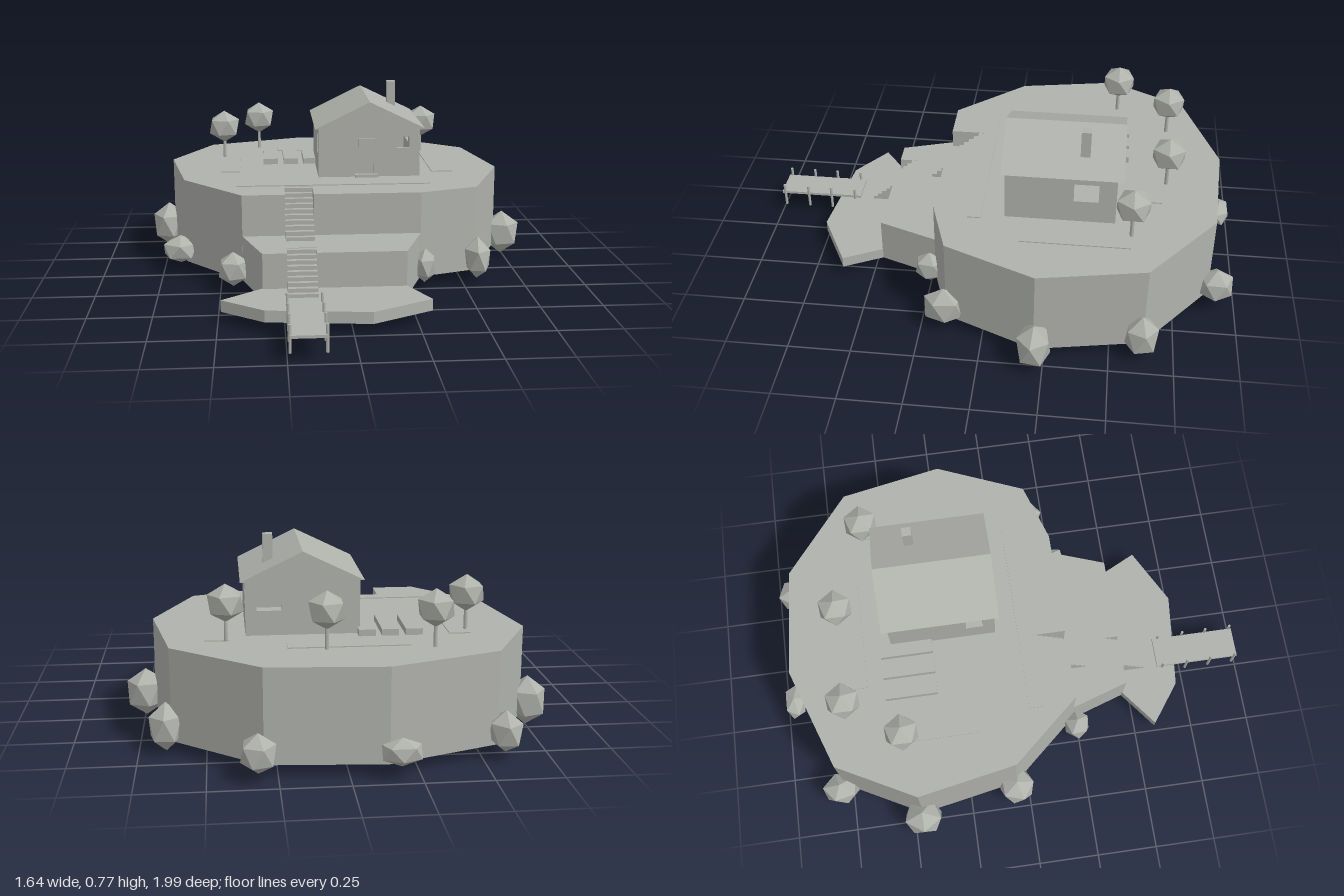
import * as THREE from 'three';

export function createModel() {
  const model = new THREE.Group();
  const stone = new THREE.MeshStandardMaterial({ color: 0xb0b2ac });
  stone.name = 'pale stone grey';

  const add = (name, geometry, x = 0, y = 0, z = 0, parent = model) => {
    const mesh = new THREE.Mesh(geometry, stone);
    mesh.name = name;
    mesh.position.set(x, y, z);
    parent.add(mesh);
    return mesh;
  };
  // Box given by its limits on each axis
  const box = (name, x0, x1, y0, y1, z0, z1, parent = model) =>
    add(name, new THREE.BoxGeometry(x1 - x0, y1 - y0, z1 - z0),
      (x0 + x1) / 2, (y0 + y1) / 2, (z0 + z1) / 2, parent);
  // Upright slab from a ground outline of [x, z] corners
  const slab = (name, outline, y0, y1) => {
    const shape = new THREE.Shape(outline.map(([x, z]) => new THREE.Vector2(x, -z)));
    const g = new THREE.ExtrudeGeometry(shape, { depth: y1 - y0, bevelEnabled: false });
    g.rotateX(-Math.PI / 2);
    return add(name, g, 0, y0, 0);
  };

  const BASE = 0.048, BEACH = 0.094, TERRACE = 0.235, TOP = 0.405;
  const SL = -0.235, SR = -0.12; // stair sides

  // Island levels, notched where the stairs cut in
  slab('islandPlateau', [
    [-0.14, -0.926], [0.3, -0.893], [0.628, -0.63], [0.706, -0.21], [0.555, 0.15], [0.315, 0.228],
    [SR, 0.228], [SR, 0.09], [SL, 0.09], [SL, 0.228],
    [-0.408, 0.228], [-0.652, -0.053], [-0.726, -0.46], [-0.558, -0.778],
  ], BASE, TOP);
  slab('terrace', [
    [-0.408, 0.226], [-0.33, 0.468], [SL, 0.468], [SL, 0.397], [SR, 0.397], [SR, 0.468],
    [0.228, 0.468], [0.315, 0.226], [0.1, 0.05], [-0.3, 0.05],
  ], BASE, TERRACE);
  slab('beach', [
    [-0.33, 0.46], [-0.488, 0.582], [-0.325, 0.704], [0.071, 0.748],
    [0.306, 0.624], [0.225, 0.46], [0.1, 0.3], [-0.25, 0.3],
  ], BASE, BEACH);

  // Two flights of stairs
  const stairs = (name, count, yLow, yHigh, zBack, zFront) => {
    const flight = new THREE.Group();
    flight.name = name;
    model.add(flight);
    const run = (zFront - zBack) / count, rise = (yHigh - yLow) / count;
    for (let i = 0; i < count; i++) {
      box('step', SL, SR, yLow, yHigh - i * rise - 0.002, zBack + i * run, zBack + (i + 1) * run, flight);
    }
  };
  stairs('upperStairs', 10, TERRACE, TOP, 0.09, 0.307);
  stairs('lowerStairs', 9, BEACH, TERRACE, 0.397, 0.577);

  // Dock with four pairs of posts
  const dock = new THREE.Group();
  dock.name = 'dock';
  model.add(dock);
  box('dockDeck', -0.24, -0.113, 0.097, 0.108, 0.635, 0.993, dock);
  for (const z of [0.66, 0.768, 0.872, 0.98]) {
    for (const x of [-0.241, -0.112]) {
      add('dockPost', new THREE.CylinderGeometry(0.006, 0.006, 0.104, 6), x, 0.092, z, dock);
    }
  }

  // House walls with open windows
  const house = new THREE.Group();
  house.name = 'house';
  model.add(house);
  const W = { x0: -0.085, x1: 0.347, z0: -0.496, z1: -0.062, top: 0.617, t: 0.015 };
  const rect = (path, a0, a1, y0, y1) =>
    path.moveTo(a0, y0).lineTo(a1, y0).lineTo(a1, y1).lineTo(a0, y1).closePath();
  const wall = (a0, a1, hole) => {
    const shape = rect(new THREE.Shape(), a0, a1, TOP, W.top);
    shape.holes.push(rect(new THREE.Path(), ...hole));
    return new THREE.ExtrudeGeometry(shape, { depth: W.t, bevelEnabled: false });
  };
  add('frontWall', wall(W.x0, W.x1, [0.25, 0.303, 0.528, 0.576]), 0, 0, W.z1 - W.t, house);
  add('backWall', wall(W.x0, W.x1, [0.21, 0.305, 0.5, 0.58]), 0, 0, W.z0, house);
  // Side walls run along z, so their outline is drawn in -z
  add('leftWall', wall(-W.z1, -W.z0, [0.33, 0.427, 0.5, 0.58]).rotateY(Math.PI / 2), W.x1 - W.t, 0, 0, house);
  add('rightWall', wall(-W.z1, -W.z0, [0.11, 0.18, 0.5, 0.58]).rotateY(Math.PI / 2), W.x0, 0, 0, house);

  // Door with frame and step
  box('door', 0.09, 0.148, 0.42, 0.566, W.z1, W.z1 + 0.002, house);
  for (const x of [0.0865, 0.1515]) box('doorJamb', x - 0.003, x + 0.003, 0.42, 0.572, W.z1, W.z1 + 0.006, house);
  box('doorLintel', 0.0835, 0.1545, 0.566, 0.572, W.z1, W.z1 + 0.006, house);
  box('doorStep', 0.07, 0.166, TOP, 0.418, W.z1, -0.042, house);

  // Gable roof and chimney
  const gable = new THREE.Shape([
    new THREE.Vector2(-0.1, 0.615), new THREE.Vector2(0.365, 0.615), new THREE.Vector2(0.132, 0.728),
  ]);
  add('roof', new THREE.ExtrudeGeometry(gable, { depth: 0.474, bevelEnabled: false }), 0, 0, -0.52, house);
  box('chimney', 0.237, 0.274, 0.65, 0.77, -0.385, -0.347, house);

  // Raised garden beds
  for (const x of [-0.285, -0.195, -0.107]) box('gardenBed', x - 0.032, x + 0.032, TOP, 0.43, -0.543, -0.328);

  // Low paved strips around the house
  const strip = (...b) => box('pavedStrip', b[0], b[1], TOP, TOP + 0.004, b[2], b[3]);
  strip(-0.43, 0.37, 0.03, 0.085);
  strip(0.41, 0.5, -0.56, -0.13);
  strip(-0.5, -0.42, -0.54, -0.18);
  strip(-0.25, 0.2, -0.68, -0.61);

  // Faceted foliage with a corner pointing straight up
  const foliage = (rx, ry, rz, turn) => {
    const g = new THREE.IcosahedronGeometry(1, 0);
    g.rotateX(-Math.atan((1 + Math.sqrt(5)) / 2));
    g.rotateY(turn);
    g.scale(rx / 0.88, ry, rz / 0.88);
    g.computeVertexNormals();
    return g;
  };

  // Trees on the plateau
  for (const [x, z] of [[-0.492, -0.487], [-0.334, -0.703], [0.06, -0.698], [0.42, -0.56]]) {
    const tree = new THREE.Group();
    tree.name = 'tree';
    tree.position.set(x, TOP, z);
    model.add(tree);
    add('trunk', new THREE.CylinderGeometry(0.007, 0.008, 0.11, 6), 0, 0.055, 0, tree);
    add('treeCrown', foliage(0.066, 0.072, 0.066, 0.3), 0, 0.146, 0, tree);
  }

  // Bushes around the shore: x, z, then radii along x, y, z
  const bushes = [
    [-0.177, -0.955, 0.072, 0.053, 0.044], [0.32, -0.92, 0.062, 0.075, 0.068],
    [0.648, -0.622, 0.062, 0.095, 0.063], [0.743, -0.213, 0.074, 0.097, 0.065],
    [0.563, 0.158, 0.053, 0.09, 0.077], [0.33, 0.25, 0.043, 0.072, 0.058],
    [-0.447, 0.242, 0.058, 0.072, 0.052], [-0.675, -0.053, 0.073, 0.06, 0.07],
    [-0.752, -0.46, 0.07, 0.1, 0.077], [-0.585, -0.79, 0.06, 0.08, 0.074],
  ];
  bushes.forEach(([x, z, rx, ry, rz], i) => add('shoreBush', foliage(rx, ry, rz, i * 0.9), x, 0.104, z));

  return model;
}
